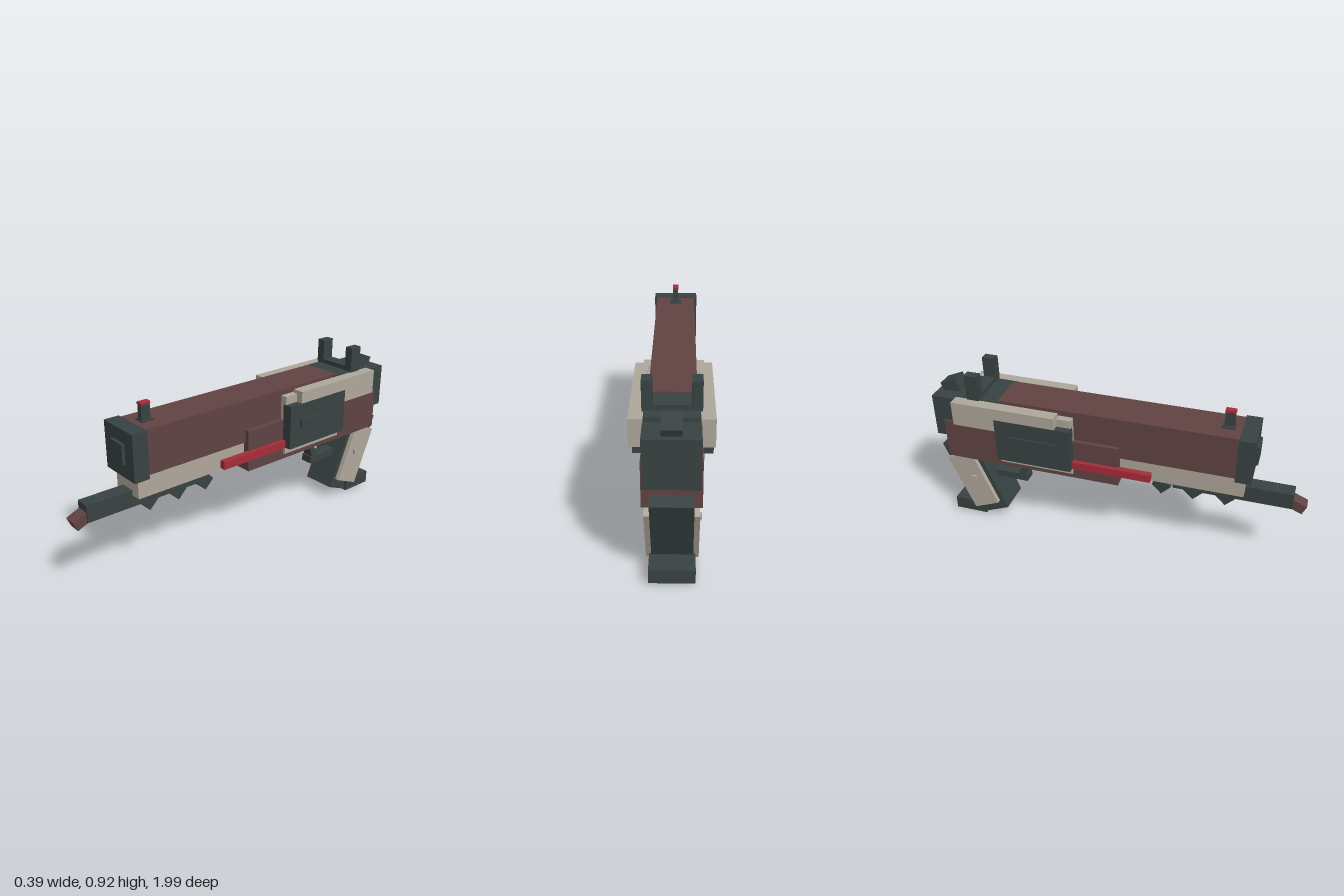
import * as THREE from 'three';

const mat = (name, color) => {
  const m = new THREE.MeshStandardMaterial({ color });
  m.name = name;
  return m;
};

export function createModel() {
  const dark = mat('gunmetal', 0x384242);
  const brown = mat('dark maroon', 0x614343);
  const light = mat('warm grey', 0xaea79b);
  const red = mat('red', 0xa62d38);
  const root = new THREE.Group();
  root.name = 'blaster';

  // Box given by its min and max along x, y and z
  const box = (name, m, x0, x1, y0, y1, z0, z1) => {
    const mesh = new THREE.Mesh(new THREE.BoxGeometry(x1 - x0, y1 - y0, z1 - z0), m);
    mesh.position.set((x0 + x1) / 2, (y0 + y1) / 2, (z0 + z1) / 2);
    mesh.name = name;
    root.add(mesh);
    return mesh;
  };
  // Centred box of half width w
  const mid = (name, m, w, ...r) => box(name, m, -w, w, ...r);
  // Mirrored pair of boxes
  const pair = (name, m, x0, x1, ...r) => {
    box(name + 'Left', m, x0, x1, ...r);
    box(name + 'Right', m, -x1, -x0, ...r);
  };
  // Box tilted about x, given by centre and size
  const tilted = (name, m, x, y, z, w, h, d, angle) => {
    const mesh = box(name, m, x - w / 2, x + w / 2, y - h / 2, y + h / 2, z - d / 2, z + d / 2);
    mesh.rotation.x = angle;
    return mesh;
  };

  // Barrel and muzzle
  mid('barrel', brown, 0.108, 0.565, 0.795, -0.62, 0.66);
  mid('muzzleBlock', dark, 0.122, 0.552, 0.797, 0.635, 0.717);
  mid('muzzlePlate', dark, 0.051, 0.625, 0.73, 0.71, 0.733);
  mid('underBarrel', light, 0.095, 0.45, 0.57, -0.3, 0.685);

  // Lower rail with teeth and tip
  mid('lowerRail', dark, 0.04, 0.388, 0.477, 0.31, 0.93);
  [0.59, 0.418, 0.248].forEach((z, i) =>
    tilted('railTooth' + (i + 1), dark, 0, 0.385, z, 0.076, 0.072, 0.072, Math.PI / 4));
  tilted('railTip', brown, 0, 0.42, 0.909, 0.066, 0.053, 0.175, 0.4);

  // Receiver and rear block
  mid('receiver', brown, 0.131, 0.407, 0.633, -0.938, 0.037);
  mid('rearBlock', dark, 0.123, 0.535, 0.77, -0.995, -0.6);
  mid('rearCover', dark, 0.12, 0.76, 0.79, -0.85, -0.6);
  tilted('hammer', dark, 0, 0.793, -0.922, 0.088, 0.07, 0.1, -0.4);

  // Side plates
  pair('innerPlate', light, 0.1, 0.146, 0.44, 0.765, -0.615, -0.207);
  pair('upperPlate', light, 0.12, 0.183, 0.652, 0.785, -0.853, -0.285);
  pair('sidePanel', dark, 0.13, 0.186, 0.48, 0.721, -0.616, -0.205);
  pair('panelRidge', dark, 0.18, 0.196, 0.594, 0.637, -0.537, -0.278);
  pair('redStrip', red, 0.12, 0.153, 0.478, 0.521, -0.25, 0.213);

  // Sights
  mid('frontSightBase', dark, 0.03, 0.79, 0.802, 0.535, 0.6);
  mid('frontSightPost', dark, 0.014, 0.795, 0.877, 0.545, 0.595);
  mid('frontSightCap', red, 0.016, 0.877, 0.889, 0.543, 0.597);
  mid('rearSightBase', dark, 0.128, 0.785, 0.815, -0.785, -0.717);
  pair('rearSightPost', dark, 0.083, 0.129, 0.8, 0.925, -0.786, -0.716);

  // Trigger guard
  tilted('guardFront', dark, 0, 0.345, -0.533, 0.066, 0.2, 0.036, 0.4);
  mid('guardBottom', dark, 0.034, 0.245, 0.287, -0.74, -0.525);

  // Grip
  const lean = -0.39;
  tilted('grip', dark, 0, 0.262, -0.815, 0.19, 0.48, 0.19, lean);
  mid('gripBase', dark, 0.105, 0.015, 0.087, -0.957, -0.77);
  for (const s of [1, -1]) {
    const side = s > 0 ? 'Left' : 'Right';
    tilted('gripPanel' + side, light, s * 0.107, 0.247, -0.82, 0.026, 0.345, 0.157, lean);
    tilted('gripButton' + side, light, s * 0.122, 0.272, -0.809, 0.018, 0.03, 0.022, 0);
  }
  return root;
}
